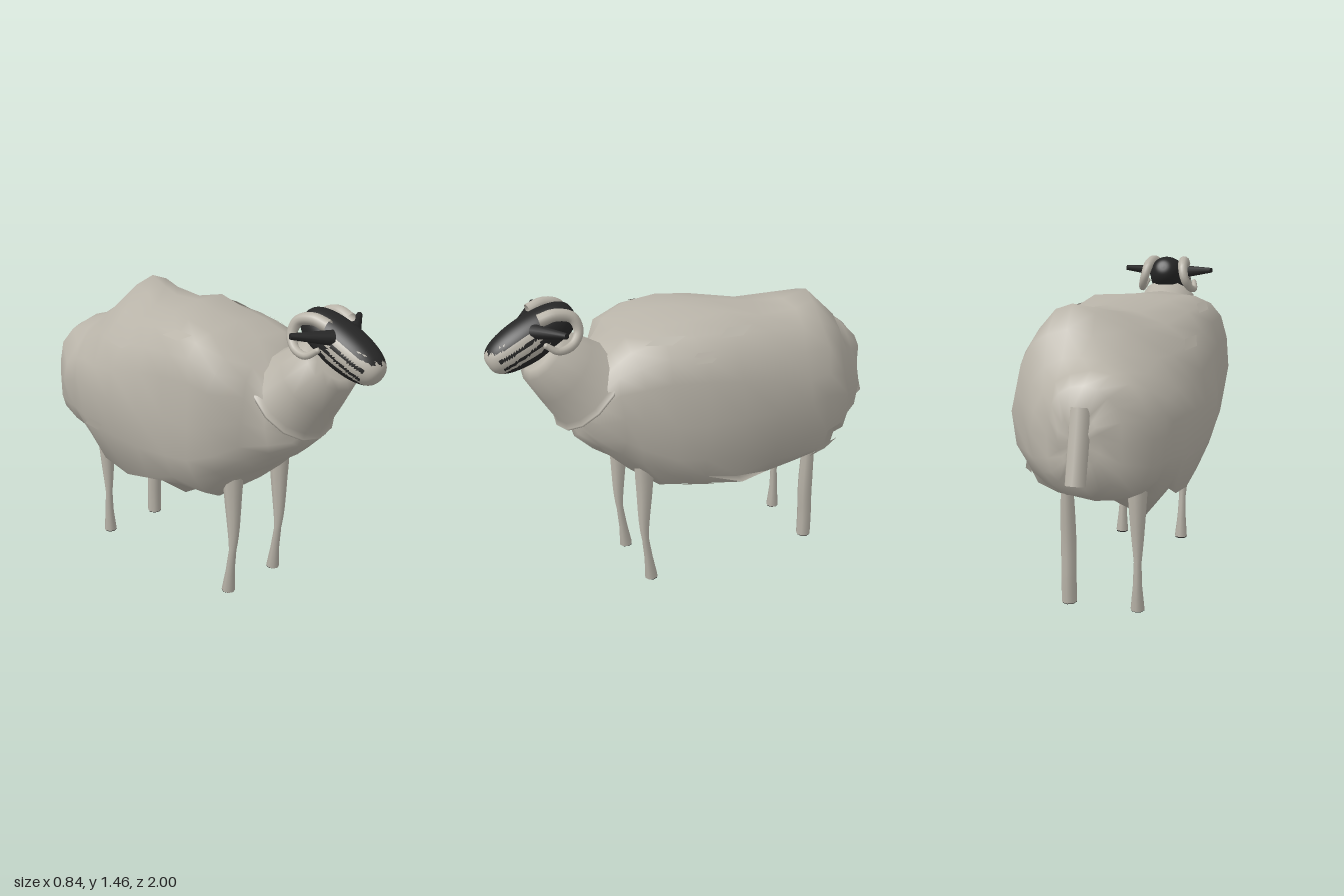
import * as THREE from 'three';

const V = (x, y, z) => new THREE.Vector3(x, y, z);

// Tube along a smooth path whose radius follows a list of values
function taperedTube(points, radii, segs, sides) {
  const curve = new THREE.CatmullRomCurve3(points);
  const geo = new THREE.TubeGeometry(curve, segs, 1, sides, false);
  const pos = geo.attributes.position, p = V(0, 0, 0);
  for (let i = 0; i < pos.count; i++) {
    const t = Math.floor(i / (sides + 1)) / segs;
    const f = t * (radii.length - 1), k = Math.min(Math.floor(f), radii.length - 2);
    const r = THREE.MathUtils.lerp(radii[k], radii[k + 1], f - k);
    const c = curve.getPointAt(t);
    p.fromBufferAttribute(pos, i).sub(c).multiplyScalar(r).add(c);
    pos.setXYZ(i, p.x, p.y, p.z);
  }
  return geo;
}

// Fleece cross-sections, chest to rump:
// z, right x, left x, bottom y, top y, roundness of the back, sideways shift of the ridge
const SECTIONS = [
  [0.64, -0.15, 0.15, 0.83, 1.05, 0.8, 0], [0.56, -0.22, 0.22, 0.75, 1.12, 0.8, 0],
  [0.46, -0.27, 0.25, 0.67, 1.23, 0.75, 0], [0.38, -0.39, 0.30, 0.60, 1.28, 0.7, -0.02],
  [0.25, -0.40, 0.345, 0.49, 1.33, 0.62, -0.04], [0.10, -0.405, 0.38, 0.47, 1.34, 0.66, -0.03],
  [-0.07, -0.415, 0.41, 0.45, 1.355, 0.75, 0], [-0.26, -0.41, 0.41, 0.47, 1.335, 0.9, 0.05],
  [-0.42, -0.405, 0.405, 0.47, 1.35, 1.1, 0.11], [-0.53, -0.38, 0.40, 0.49, 1.37, 1.22, 0.12],
  [-0.63, -0.34, 0.385, 0.54, 1.28, 1.12, 0.10], [-0.70, -0.335, 0.31, 0.56, 1.19, 1.05, 0.05],
  [-0.80, -0.30, 0.23, 0.60, 1.15, 0.95, 0], [-0.87, -0.19, 0.14, 0.66, 1.10, 0.85, 0],
  [-0.895, -0.10, 0.08, 0.77, 0.98, 0.8, 0],
];
const SIDES = 20;
// Hanging locks: section, side, x, y
const HANGING = [
  [6, 17, 0.40, 0.58], [6, 14, -0.10, 0.378], [8, 14, -0.16, 0.385],
  [6, 12, -0.335, 0.53], [7, 12, -0.32, 0.49], [8, 12, -0.31, 0.52],
  [10, 18, 0.32, 0.76],
];

function fleeceGeometry() {
  const pos = [], idx = [], n = SECTIONS.length;
  SECTIONS.forEach(([z, x0, x1, y0, y1, round, shift], i) => {
    for (let j = 0; j < SIDES; j++) {
      const a = (j / SIDES) * Math.PI * 2, c = Math.cos(a), s = Math.sin(a);
      const lump = 1 + 0.016 * Math.sin(3 * a + i * 1.7) + 0.014 * Math.sin(7 * a - i * 2.3);
      const e = s > 0 ? round : 0.74;
      const px = Math.sign(c) * Math.pow(Math.abs(c), e) * lump;
      const py = Math.sign(s) * Math.pow(Math.abs(s), e) * lump;
      const x = (x0 + x1) / 2 + px * (x1 - x0) / 2 + (s > 0 ? shift * s * s : 0);
      const y = (y0 + y1) / 2 + py * (y1 - y0) / 2;
      pos.push(x, y, z + 0.012 * Math.sin(5 * a + i * 3));
    }
  });
  HANGING.forEach(([i, j, x, y]) => {
    const k = (i * SIDES + j) * 3;
    pos[k] = x;
    pos[k + 1] = y;
  });
  for (let i = 0; i < n - 1; i++) {
    for (let j = 0; j < SIDES; j++) {
      const k = (j + 1) % SIDES;
      const a = i * SIDES + j, b = i * SIDES + k, c = a + SIDES, d = b + SIDES;
      idx.push(a, c, b, b, c, d);
    }
  }
  const front = n * SIDES, back = front + 1, last = (n - 1) * SIDES;
  pos.push(0, 0.94, 0.66, -0.01, 0.87, -0.905);
  for (let j = 0; j < SIDES; j++) {
    const k = (j + 1) % SIDES;
    idx.push(front, j, k, back, last + k, last + j);
  }
  const geo = new THREE.BufferGeometry();
  geo.setAttribute('position', new THREE.Float32BufferAttribute(pos, 3));
  geo.setIndex(idx);
  geo.computeVertexNormals();
  return geo;
}

// Dark head with a pale muzzle and ragged pale cheek streaks as a second group
function headGeometry() {
  const geo = new THREE.SphereGeometry(1, 72, 48);
  geo.rotateX(Math.PI / 2);
  const pos = geo.attributes.position, src = geo.index.array, dark = [], pale = [];
  for (let t = 0; t < src.length; t += 3) {
    const tri = [src[t], src[t + 1], src[t + 2]];
    const c = V(0, 0, 0);
    tri.forEach((i) => c.add(V(pos.getX(i), pos.getY(i), pos.getZ(i))));
    c.divideScalar(3);
    const jag = 0.06 * Math.sin(c.x * 23) + 0.03 * Math.sin(c.x * 51);
    const muzzle = c.z > 0.8 && c.y > -0.45 && c.y < 0.46 + jag;
    const streak = Math.abs(c.x) > 0.46 && c.z > -0.15 + 0.12 * Math.sin(c.y * 31) && c.z <= 0.8
      && c.y > -0.4 && c.y < 0.64 && Math.sin(c.y * 17 + c.z * 3) > -0.4;
    (muzzle || streak ? pale : dark).push(...tri);
  }
  geo.setIndex([...dark, ...pale]);
  geo.addGroup(0, dark.length, 0);
  geo.addGroup(dark.length, pale.length, 1);
  // blunt the ends
  for (let i = 0; i < pos.count; i++) {
    const x = pos.getX(i), y = pos.getY(i);
    const w = Math.pow(Math.max(Math.hypot(x, y), 0.05), -0.33);
    pos.setXYZ(i, x * w * 0.103, y * w * 0.1, pos.getZ(i) * 0.22);
  }
  geo.computeVertexNormals();
  return geo;
}

export function createModel() {
  const wool = new THREE.MeshStandardMaterial({ color: 0xb8b3a8, side: THREE.DoubleSide });
  wool.name = 'wool';
  const black = new THREE.MeshStandardMaterial({ color: 0x262626 });
  black.name = 'black';
  const sheep = new THREE.Group();
  sheep.name = 'sheep';
  const add = (name, geo, mat) => {
    const m = new THREE.Mesh(geo, mat);
    m.name = name;
    sheep.add(m);
    return m;
  };
  // Cylinder running from point a (radius ra) to point b (radius rb)
  const rod = (name, a, b, ra, rb, sides, mat) => {
    const d = b.clone().sub(a);
    const m = add(name, new THREE.CylinderGeometry(rb, ra, d.length(), sides), mat);
    m.position.copy(a).add(b).multiplyScalar(0.5);
    m.quaternion.setFromUnitVectors(V(0, 1, 0), d.normalize());
  };

  // Fleece and the flat locks lying on it
  const fleece = fleeceGeometry();
  add('fleece', fleece, wool);
  const lock = new THREE.BufferGeometry().setFromPoints(
    [V(-0.09, -0.025, 0), V(0.03, -0.025, 0), V(0.09, 0.025, 0), V(-0.03, 0.025, 0)]);
  lock.setIndex([0, 1, 2, 0, 2, 3]);
  lock.computeVertexNormals();
  const spots = [[4, 3], [5, 2], [6, 3], [5, 7], [7, 8], [9, 18], [5, 17], [8, 11]];
  spots.forEach(([i, j]) => {
    const v = i * SIDES + j;
    const p = V().fromBufferAttribute(fleece.attributes.position, v);
    const nrm = V().fromBufferAttribute(fleece.attributes.normal, v);
    const m = add('woolLock', lock, wool);
    m.position.copy(p).addScaledVector(nrm, 0.002);
    m.lookAt(p.clone().add(nrm));
  });

  // Neck: a cone with a lip at the bottom and a rounded top
  const profile = [[0.15, -0.01], [0.23, -0.005], [0.23, 0.005], [0.208, 0.02], [0.175, 0.155],
    [0.14, 0.285], [0.10, 0.305], [0, 0.315]].map(([r, y]) => new THREE.Vector2(r, y));
  const neck = add('neck', new THREE.LatheGeometry(profile, 14), wool);
  neck.position.set(0, 1.03, 0.535);
  neck.rotation.x = 0.797;

  // Head
  const head = add('head', headGeometry(), [black, wool]);
  head.position.set(0.004, 1.315, 0.79);
  head.rotation.x = 0.45;

  // Ears and curled horns
  for (const s of [1, -1]) {
    rod('ear', V(s * 0.07, 1.365, 0.79), V(s * 0.235, 1.387, 0.70), 0.034, 0.013, 10, black);
    const path = [[0.075, 1.41, 0.77], [0.085, 1.43, 0.70], [0.095, 1.41, 0.625], [0.11, 1.35, 0.605],
      [0.13, 1.30, 0.64], [0.142, 1.285, 0.71], [0.13, 1.315, 0.76]].map(([x, y, z]) => V(s * x, y, z));
    add('horn', taperedTube(path, [0.03, 0.027, 0.023, 0.019, 0.013], 28, 10), wool);
    const tip = add('hornTip', new THREE.SphereGeometry(0.013, 10, 8), wool);
    tip.position.copy(path[path.length - 1]);
  }

  // Legs with dark soles; the left hind leg is a straight post
  const waisted = [0.055, 0.05, 0.046, 0.038, 0.029, 0.018, 0.022, 0.033];
  const post = [0.03, 0.03, 0.029, 0.034, 0.037, 0.037, 0.037, 0.037];
  const leg = (name, x, z, foot, radii) => {
    const path = [V(x, 0.8, z), V(x, 0.55, z), V(x, 0.28, z + 0.005), V(x, 0.12, (z + foot) / 2), V(x, 0.003, foot)];
    add(name, taperedTube(path, radii, 21, 8), wool);
    const r = radii[radii.length - 1] - 0.001;
    const sole = add('hoofSole', new THREE.CylinderGeometry(r, r, 0.004, 8), black);
    sole.position.set(x, 0.002, foot);
  };
  leg('frontLegRight', -0.174, 0.335, 0.31, waisted);
  leg('frontLegLeft', 0.155, 0.335, 0.31, waisted);
  leg('hindLegRight', -0.174, -0.59, -0.585, waisted);
  leg('hindLegLeft', 0.153, -0.585, -0.585, post);

  // Tail
  rod('tail', V(-0.012, 1.01, -0.865), V(-0.012, 0.705, -0.955), 0.047, 0.045, 8, wool);

  return sheep;
}
